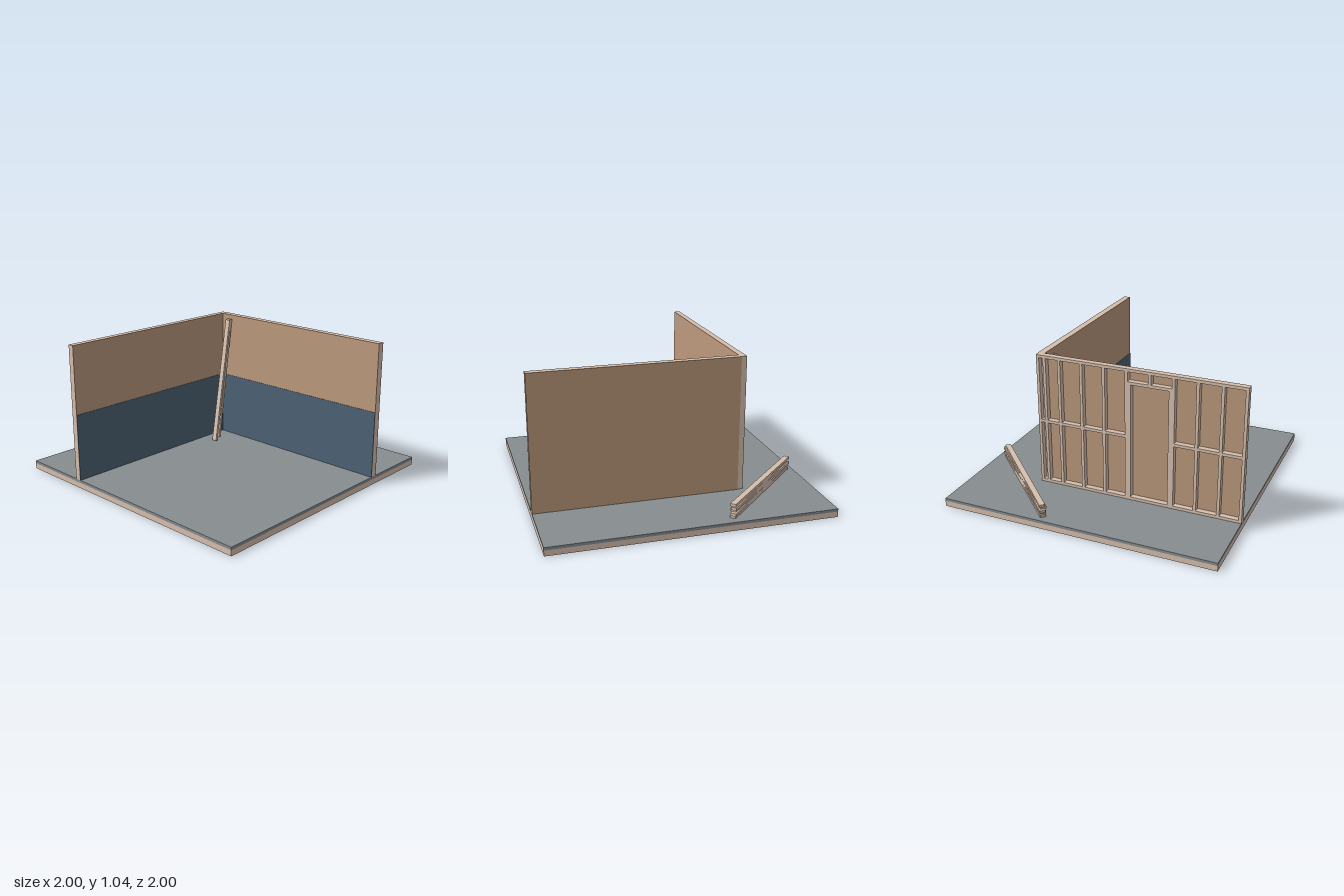
import * as THREE from 'three';

export function createModel() {
  const model = new THREE.Group();
  model.name = 'framedCorner';
  const mat = (name, color) => {
    const m = new THREE.MeshStandardMaterial({ color });
    m.name = name;
    return m;
  };
  const lumber = mat('pale lumber', 0xd6bfae);
  const board = mat('brown board', 0xbb997c);
  const paint = mat('blue paint', 0x4c6274);
  const deckGrey = mat('deck grey', 0x878c90);

  // Box from minimum to maximum corner
  function box(parent, name, m, x0, x1, y0, y1, z0, z1) {
    const mesh = new THREE.Mesh(new THREE.BoxGeometry(x1 - x0, y1 - y0, z1 - z0), m);
    mesh.position.set((x0 + x1) / 2, (y0 + y1) / 2, (z0 + z1) / 2);
    mesh.name = name;
    parent.add(mesh);
    return mesh;
  }
  const group = (name) => {
    const g = new THREE.Group();
    g.name = name;
    model.add(g);
    return g;
  };

  const T = 0.0208;          // lumber thickness
  const W = 0.04;            // lumber width
  const F = 0.06;            // top of the deck
  const TOP = 1.036;         // top of the walls
  const MID = 0.544;         // top of the painted half

  // Floor: deck on rim boards and joists
  const floor = group('floor');
  box(floor, 'deck', deckGrey, -1, 1, W, F, -1, 1);
  for (const s of [-1, 1]) {
    for (const [a, b] of [[-1, 0], [0, 1]]) {
      const e = s * (1 - T / 2);
      box(floor, 'sideRim', lumber, e - T / 2, e + T / 2, 0, W, a, b);
      box(floor, 'endRim', lumber, a * (1 - T), b * (1 - T), 0, W, e - T / 2, e + T / 2);
    }
  }
  for (let i = 1; i < 6; i++) {
    const z = -1 + i / 3;
    box(floor, 'joist', lumber, -1 + T, 1 - T, 0, W, z - T / 2, z + T / 2);
  }

  // Right wall, open framing outside and board inside
  const X0 = -0.503, X1 = -0.463;
  const Z0 = -0.505, Z1 = 1;
  const sideWall = group('rightWall');
  const rail = (name, y, a, b) => box(sideWall, name, lumber, X0, X1, y, y + T, a, b);
  rail('bottomPlate', F, Z0, Z1);
  rail('topPlate', TOP - T, Z0, 0.51);
  rail('topPlate', TOP - T, 0.51, Z1);
  const stud = (name, z, y0, y1) => box(sideWall, name, lumber, X0, X1, y0, y1, z - T / 2, z + T / 2);
  const studZ = (k) => THREE.MathUtils.clamp(-0.5 + k / 6, Z0 + T / 2, Z1 - T / 2);
  const header = 0.925;
  for (let k = 0; k <= 9; k++) {
    if (k === 5) stud('crippleStud', studZ(k), header + T, TOP - T);
    else stud('stud', studZ(k), F + T, TOP - T);
    if (k < 9 && k !== 4 && k !== 5) {
      rail('blocking', MID - T / 2, studZ(k) + T / 2, studZ(k + 1) - T / 2);
    }
  }
  stud('cornerStud', studZ(0) + W + T / 2, F + T, TOP - T);
  // Doorway with jack studs and header
  stud('jackStud', studZ(4) + T, F + T, header);
  stud('jackStud', studZ(6) - T, F + T, header);
  rail('header', header, studZ(4) + T / 2, studZ(6) - T / 2);
  const INX = -0.458, INZ = -0.46;
  box(sideWall, 'innerBoard', board, X1, INX, F, TOP, INZ, Z1);
  box(sideWall, 'paintedLowerHalf', paint, INX, INX + 0.003, F, MID, INZ + 0.003, Z1);

  // Back wall, boarded on both sides
  const backWall = group('backWall');
  const B0 = -0.505, B1 = -0.465;
  box(backWall, 'bottomPlate', lumber, X1, 1, F, F + T, B0, B1);
  box(backWall, 'topPlate', lumber, X1, 1, TOP - T, TOP, B0, B1);
  for (let k = 0; k <= 9; k++) {
    const x = THREE.MathUtils.clamp(-0.5 + k / 6, X1 + T / 2, 1 - T / 2);
    box(backWall, 'stud', lumber, x - T / 2, x + T / 2, F + T, TOP - T, B0, B1);
  }
  box(backWall, 'innerBoard', board, X1, 1, F, TOP, B1, INZ);
  box(backWall, 'outerBoard', board, X1, 1, F, TOP, B0 - 0.005, B0);
  box(backWall, 'paintedLowerHalf', paint, INX, 1, F, MID, INZ, INZ + 0.003);

  // Two loose boards leaning in the corner
  const leaning = group('leaningBoards');
  function lean(bottom, top) {
    const a = new THREE.Vector3(...bottom), b = new THREE.Vector3(...top);
    const up = b.clone().sub(a);
    const mesh = new THREE.Mesh(new THREE.BoxGeometry(W, up.length(), T * 0.85), lumber);
    const y = up.clone().normalize();
    const z = new THREE.Vector3(0, 0, 1).addScaledVector(y, -y.z).normalize();
    const x = new THREE.Vector3().crossVectors(y, z);
    mesh.quaternion.setFromRotationMatrix(new THREE.Matrix4().makeBasis(x, y, z));
    mesh.position.copy(a).add(b).multiplyScalar(0.5);
    mesh.name = 'leaningBoard';
    leaning.add(mesh);
  }
  lean([-0.376, 0.063, -0.312], [-0.376, 1.005, -0.446]);
  lean([-0.326, 0.064, -0.226], [-0.372, 1.0, -0.43]);

  // Stack of loose boards on the deck behind the corner
  const stack = group('boardStack');
  const shifts = [0.0, -0.012, 0.014, -0.006, 0.006];
  const turns = [0.0, 0.012, -0.01, 0.014, -0.008];
  shifts.forEach((s, i) => {
    const mesh = new THREE.Mesh(new THREE.BoxGeometry(0.97, T * 0.94, W), lumber);
    mesh.position.set(-0.607 - s * 0.7, F + (i + 0.5) * 0.0198, -0.592 + s * 0.7);
    mesh.rotation.y = Math.PI / 4 + turns[i];
    mesh.name = 'stackedBoard';
    stack.add(mesh);
  });

  return model;
}
